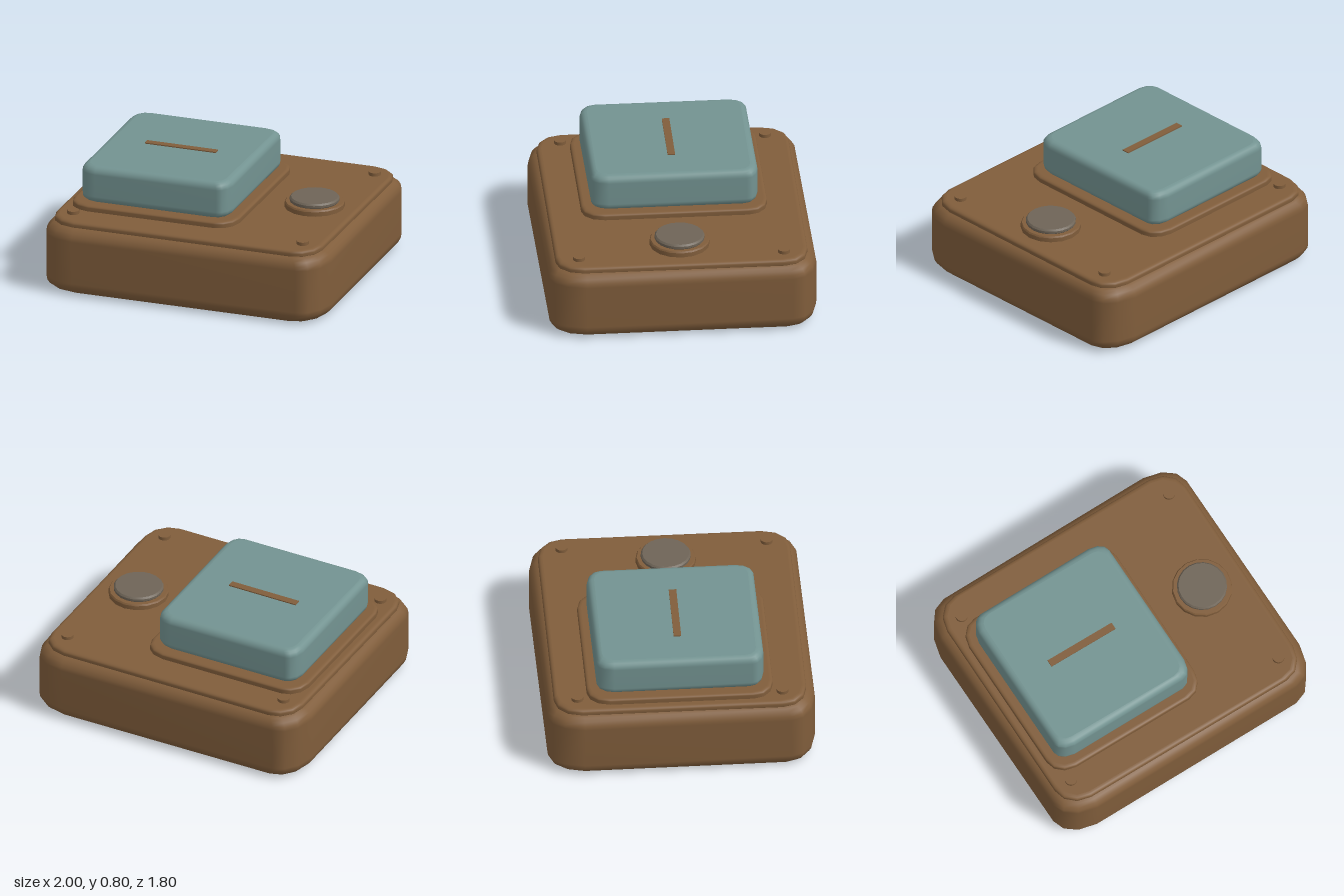
import * as THREE from 'three';
import { mergeGeometries, toCreasedNormals } from 'three/addons/utils/BufferGeometryUtils.js';

const brown = new THREE.MeshStandardMaterial({ color: 0x805d3b });
brown.name = 'brown casing';
const teal = new THREE.MeshStandardMaterial({ color: 0x739391 });
teal.name = 'muted teal';
const grey = new THREE.MeshStandardMaterial({ color: 0x6e6457 });
grey.name = 'warm grey';

// Corner points (inset by radius) and the slightly skewed outward bevel directions.
const CORNER = [[1, 0], [0.5, 0.13], [0.13, 0.5], [0, 1]];
const BEVEL = [[0, 1], [0.5, 0.9], [0.7, 0.9], [0.8, 0.9]];

// Outline as [x, z] pairs, grown from the inner contour by t * bevel.
function outline(hx, hz, radius, bevel, t) {
  const pts = [];
  for (let q = 0; q < 4; q++) {
    const [a, b] = q % 2 ? [hz, hx] : [hx, hz];
    CORNER.forEach(([cx, cz], i) => {
      let x = a - bevel - cx * radius + BEVEL[i][0] * bevel * t;
      let z = -(b - bevel - cz * radius + BEVEL[i][1] * bevel * t);
      for (let k = 0; k < q; k++) [x, z] = [-z, x]; // quarter turn
      pts.push([x, z]);
    });
  }
  return pts;
}

function makeGeometry(pos, index) {
  const g = new THREE.BufferGeometry();
  g.setAttribute('position', new THREE.Float32BufferAttribute(pos, 3));
  g.setIndex(index);
  g.computeVertexNormals();
  return g;
}

// Rounded slab with quarter-round bevels on both rims and flat caps.
function slab(hx, hz, radius, bevel, y0, y1, bevelY = bevel) {
  const steps = 5, pos = [], index = [], rings = [];
  for (let i = 0; i <= steps; i++) {
    const a = (i / steps) * Math.PI / 2;
    rings.push([Math.sin(a), y0 + bevelY * (1 - Math.cos(a))]);
  }
  for (let i = steps; i >= 0; i--) rings.push([rings[i][0], y0 + y1 - rings[i][1]]);
  for (const [t, y] of rings) {
    for (const [x, z] of outline(hx, hz, radius, bevel, t)) pos.push(x, y, z);
  }
  const n = 16;
  for (let r = 0; r < rings.length - 1; r++) {
    for (let i = 0; i < n; i++) {
      const a = r * n + i, b = r * n + (i + 1) % n;
      index.push(a, a + n, b, b, a + n, b + n);
    }
  }
  const parts = [makeGeometry(pos, index)];
  for (const [y, up] of [[y0, false], [y1, true]]) {
    const cp = [], ci = [];
    for (const [x, z] of outline(hx, hz, radius, bevel, 0)) cp.push(x, y, z);
    for (let i = 1; i < n - 1; i++) ci.push(0, up ? i + 1 : i, up ? i : i + 1);
    parts.push(makeGeometry(cp, ci));
  }
  return mergeGeometries(parts);
}

// Turned disc from a [radius, y] profile running bottom to top.
function disc(profile, sides) {
  const pts = profile.map(([r, y]) => new THREE.Vector2(r, y));
  return toCreasedNormals(new THREE.LatheGeometry(pts, sides), 0.5);
}

export function createModel() {
  const model = new THREE.Group();
  model.name = 'controlBox';
  const add = (name, geometry, material, x = 0, y = 0, z = 0) => {
    const mesh = new THREE.Mesh(geometry, material);
    mesh.name = name;
    mesh.position.set(x, y, z);
    model.add(mesh);
  };

  // Casing and lid
  add('casing', slab(1, 0.9, 0.16, 0.1, 0, 0.475, 0.09), brown);
  add('lidPlate', slab(0.94, 0.84, 0.16, 0.03, 0.45, 0.505, 0.02), brown);

  // Large paddle on its collar
  add('paddleCollar', slab(0.585, 0.62, 0.13, 0.025, 0.49, 0.545, 0.015), brown, -0.3);
  add('paddle', slab(0.528, 0.56, 0.075, 0.05, 0.54, 0.795), teal, -0.3);
  add('paddleMark', new THREE.BoxGeometry(0.5, 0.01, 0.05), brown, -0.3, 0.797, 0);

  // Round button in its ring
  add('buttonRing', disc([[0, 0.49], [0.2, 0.49], [0.2, 0.535], [0.193, 0.545], [0, 0.545]], 16), brown, 0.64);
  add('button', disc([[0, 0.54], [0.158, 0.54], [0.166, 0.55], [0.166, 0.566], [0.156, 0.577], [0, 0.577]], 20), grey, 0.64);

  // Corner screws
  for (const x of [-0.81, 0.81]) {
    for (const z of [-0.68, 0.68]) {
      add('screw', new THREE.CylinderGeometry(0.04, 0.04, 0.035, 20), brown, x, 0.51, z);
    }
  }
  return model;
}
